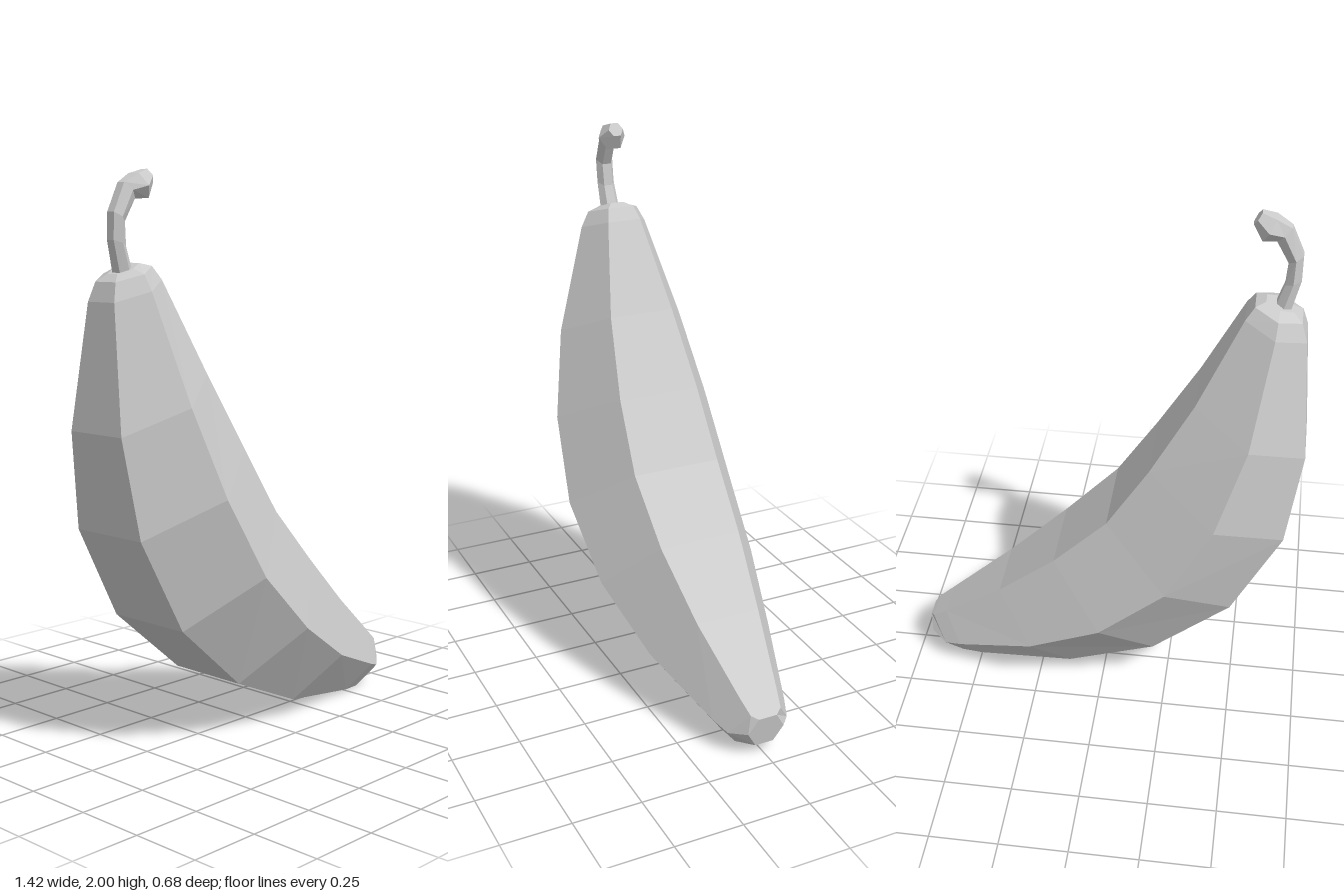
import * as THREE from 'three';

// Each ring: [inner x, inner y, outer x, outer y, half width, z centre], listed from top to bottom.
// Rings are six-sided, mirrored front to back.
function hexRing([ix, iy, ox, oy, w, z = 0]) {
  const mx = (ix + ox) / 2, my = (iy + oy) / 2;
  return [
    [ix, iy, z + w / 2], [mx, my, z + w], [ox, oy, z + w / 2],
    [ox, oy, z - w / 2], [mx, my, z - w], [ix, iy, z - w / 2],
  ];
}

// Faceted skin over a stack of rings, closed at both ends
function loft(name, sections, material) {
  const rings = sections.map(hexRing);
  const pos = [];
  const tri = (a, b, c) => pos.push(...a, ...b, ...c);
  for (let i = 0; i < rings.length - 1; i++) {
    for (let j = 0; j < 6; j++) {
      const k = (j + 1) % 6;
      const a = rings[i][j], b = rings[i][k], c = rings[i + 1][k], d = rings[i + 1][j];
      tri(a, b, c);
      tri(a, c, d);
    }
  }
  const first = rings[0], last = rings[rings.length - 1];
  for (let j = 1; j < 5; j++) {
    tri(first[0], first[j + 1], first[j]);
    tri(last[0], last[j], last[j + 1]);
  }
  const geometry = new THREE.BufferGeometry();
  geometry.setAttribute('position', new THREE.Float32BufferAttribute(pos, 3));
  geometry.computeVertexNormals();
  const mesh = new THREE.Mesh(geometry, material);
  mesh.name = name;
  return mesh;
}

export function createModel() {
  const group = new THREE.Group();
  group.name = 'curvedFruit';
  const material = new THREE.MeshStandardMaterial({ color: 0xcccccc, flatShading: true });

  // Curved fruit body, from the shoulder to the blunt tip
  group.add(loft('fruitBody', [
    [-0.535, 1.695, -0.63, 1.66, 0.05],
    [-0.50, 1.685, -0.66, 1.635, 0.10],
    [-0.47, 1.64, -0.68, 1.57, 0.13],
    [-0.32, 1.32, -0.71, 1.14, 0.25],
    [-0.17, 1.05, -0.66, 0.795, 0.315],
    [-0.02, 0.81, -0.485, 0.46, 0.338],
    [0.18, 0.60, -0.20, 0.21, 0.315],
    [0.40, 0.40, 0.13, 0.065, 0.245],
    [0.635, 0.215, 0.50, 0.005, 0.145],
    [0.69, 0.173, 0.58, 0, 0.118],
    [0.706, 0.16, 0.685, 0.042, 0.07],
  ], material));

  // Thin bent stem with a knobbed end
  group.add(loft('stem', [
    [-0.476, 1.958, -0.502, 2.0, 0.028, 0.02],
    [-0.508, 1.905, -0.55, 1.985, 0.052, 0.02],
    [-0.555, 1.905, -0.602, 1.955, 0.033, 0.016],
    [-0.598, 1.83, -0.645, 1.86, 0.033, 0.013],
    [-0.592, 1.75, -0.645, 1.77, 0.033, 0.01],
    [-0.562, 1.66, -0.618, 1.66, 0.037, 0.006],
  ], material));

  return group;
}
